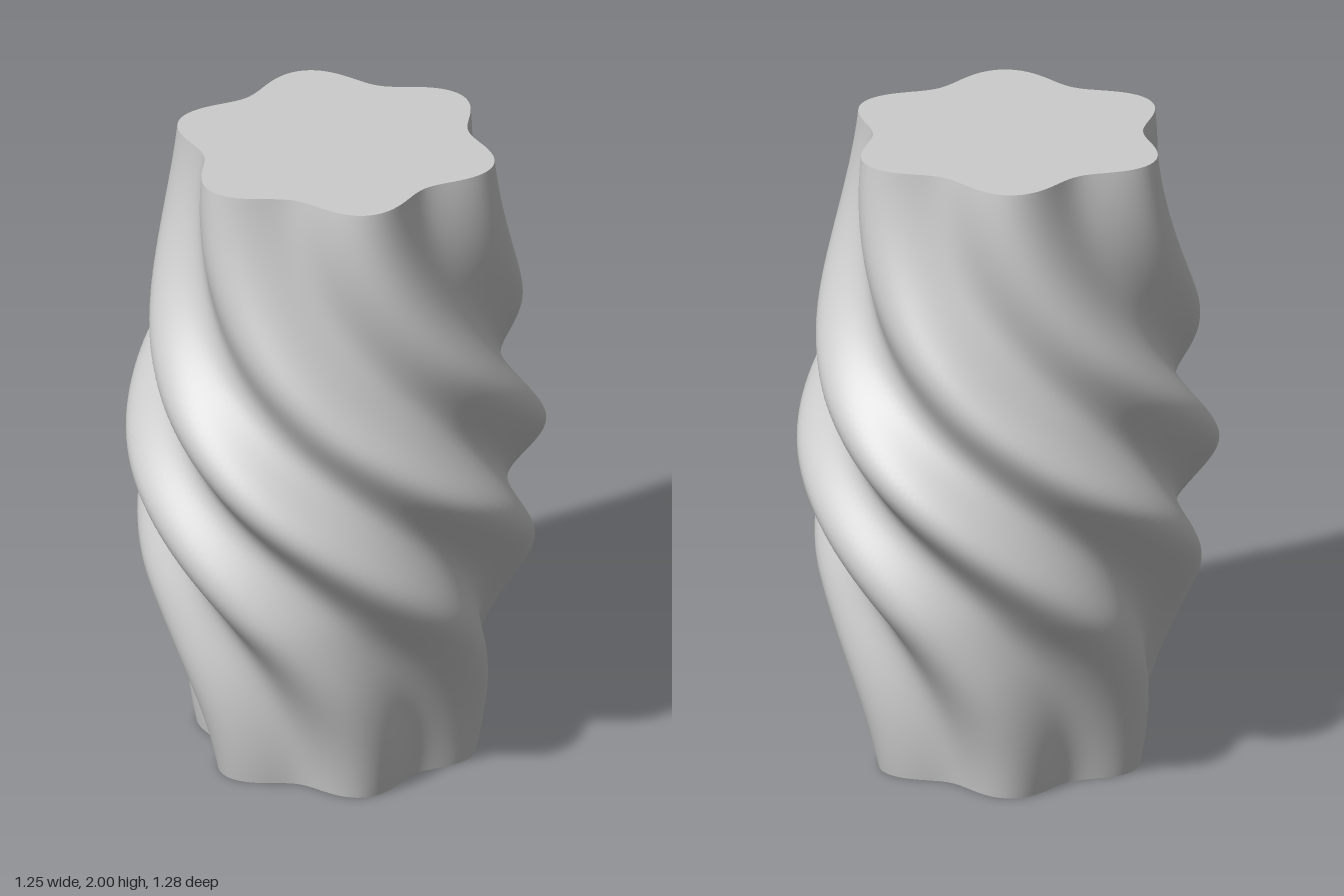
import * as THREE from 'three';

const SIDES = 192;   // points around the section
const ROWS = 120;    // sections up the height
const LOBES = 6;
const WAVE = 0.1;    // lobe depth relative to the mean radius

// Outer radius at chosen heights: narrow foot, wide belly, slightly wider rim
const belly = new THREE.SplineCurve([
  [0, 0.44], [0.42, 0.533], [0.63, 0.591], [0.82, 0.625], [1, 0.64],
  [1.19, 0.623], [1.38, 0.59], [1.64, 0.544], [2, 0.5],
].map(([y, r]) => new THREE.Vector2(y, r)));

function outerRadius(y) {
  // find the curve parameter for this height by bisection
  let lo = 0, hi = 1;
  for (let i = 0; i < 30; i++) {
    const mid = (lo + hi) / 2;
    if (belly.getPoint(mid).x < y) lo = mid; else hi = mid;
  }
  return belly.getPoint((lo + hi) / 2).y;
}

// Half a turn in total, easing in and out at the ends as a cosine
const twist = (y) => Math.PI * (1 - Math.cos(Math.PI * y / 2)) / 2;

function twistedBody() {
  const geometry = new THREE.CylinderGeometry(1, 1, 2, SIDES, ROWS);
  geometry.translate(0, 1, 0);
  const p = geometry.attributes.position;
  for (let i = 0; i < p.count; i++) {
    const x = p.getX(i), y = p.getY(i), z = p.getZ(i);
    const angle = Math.atan2(z, x) - twist(y);
    const scale = outerRadius(y) * (1 + WAVE * Math.cos(LOBES * angle)) / (1 + WAVE);
    p.setXYZ(i, x * scale, y, z * scale);
  }
  geometry.computeVertexNormals();

  // Blend the normals across the seam of the side wall
  const n = geometry.attributes.normal;
  const a = new THREE.Vector3(), b = new THREE.Vector3();
  for (let row = 0; row <= ROWS; row++) {
    const first = row * (SIDES + 1), last = first + SIDES;
    a.fromBufferAttribute(n, first).add(b.fromBufferAttribute(n, last)).normalize();
    n.setXYZ(first, a.x, a.y, a.z);
    n.setXYZ(last, a.x, a.y, a.z);
  }
  return geometry;
}

export function createModel() {
  const group = new THREE.Group();
  group.name = 'twistedColumn';
  const grey = new THREE.MeshStandardMaterial({ color: 0xcccccc });
  grey.name = 'grey';

  // Lobed body with flat top and bottom
  const body = new THREE.Mesh(twistedBody(), grey);
  body.name = 'twistedBody';
  group.add(body);
  return group;
}
